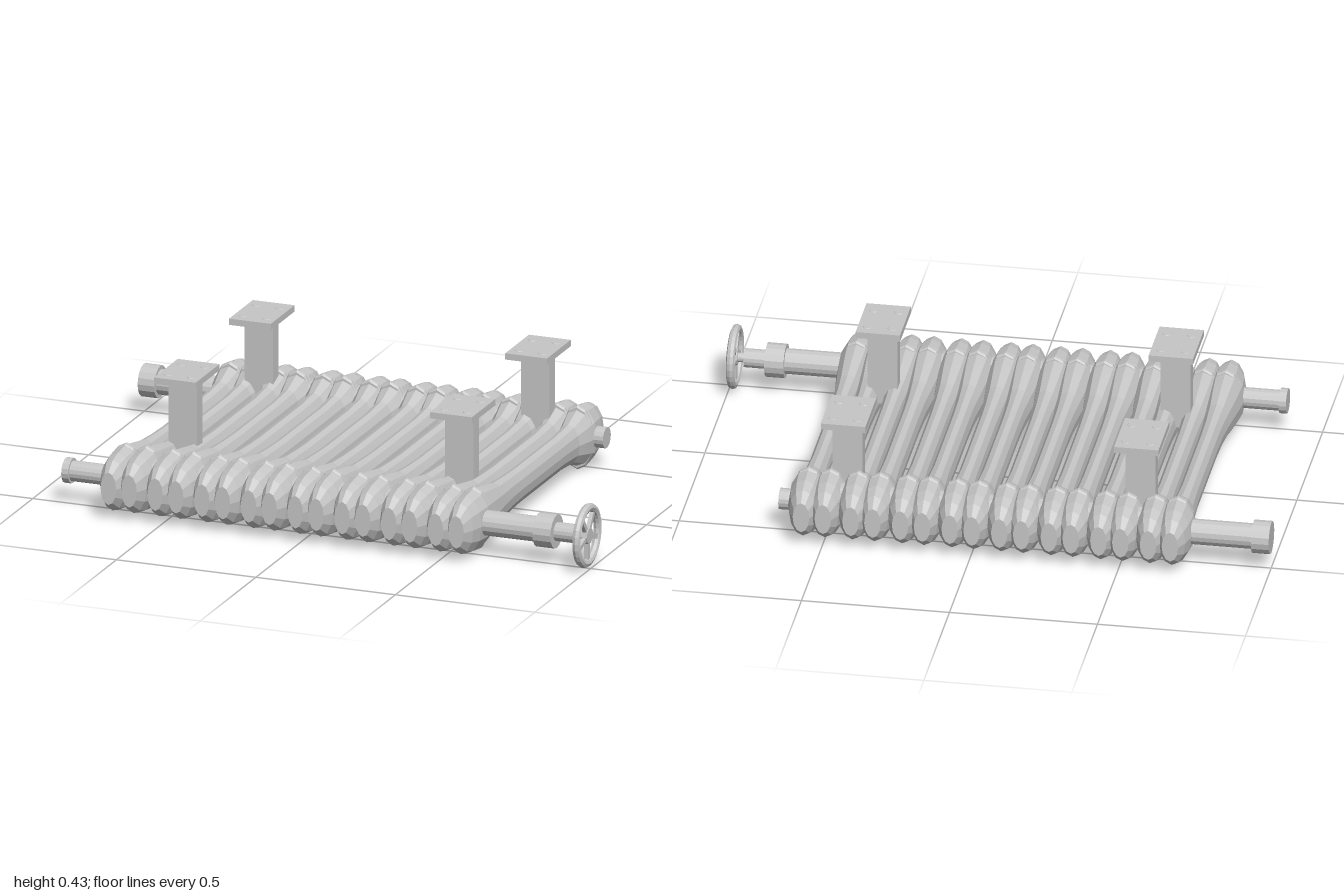
import * as THREE from 'three';
import { toCreasedNormals } from 'three/addons/utils/BufferGeometryUtils.js';

const MID = 0.115; // height of the radiator's centre plane
const BACK = -0.495, FRONT = 0.49; // z of the two header pipes

export function createModel() {
  const root = new THREE.Group();
  const grey = new THREE.MeshStandardMaterial({ color: 0xc6c6c6 });
  grey.name = 'cast iron grey';

  const add = (parent, name, geometry, x = 0, y = 0, z = 0) => {
    const mesh = new THREE.Mesh(toCreasedNormals(geometry, 0.1), grey);
    mesh.name = name;
    mesh.position.set(x, y, z);
    parent.add(mesh);
    return mesh;
  };

  // Elliptical loft along z; rows are [z, half width, half height], front to back
  const loft = (rows, sides = 12) => {
    const n = rows.length - 1;
    const g = new THREE.CylinderGeometry(1, 1, 1, sides, n).rotateX(Math.PI / 2);
    const p = g.attributes.position;
    for (let i = 0; i < p.count; i++) {
      const [z, w, h] = rows[Math.round((0.5 - p.getZ(i)) * n)];
      p.setXYZ(i, p.getX(i) * w, p.getY(i) * h, z);
    }
    return g;
  };

  // Pipe along x between two positions
  const pipe = (name, x0, x1, r, z, sides = 16) =>
    add(root, name, new THREE.CylinderGeometry(r, r, x1 - x0, sides).rotateZ(Math.PI / 2), (x0 + x1) / 2, MID, z);

  // Paired columns with swollen ends
  const column = loft([
    [0.625, 0.028, 0.057], [0.585, 0.046, 0.088], [0.54, 0.058, 0.1],
    [0.48, 0.064, 0.106], [0.41, 0.059, 0.096], [0.29, 0.045, 0.072],
    [0.2, 0.038, 0.066], [0.1, 0.036, 0.062], [-0.27, 0.036, 0.062],
    [-0.38, 0.041, 0.07], [-0.43, 0.055, 0.088], [-0.48, 0.064, 0.106],
    [-0.54, 0.058, 0.1], [-0.585, 0.046, 0.085], [-0.622, 0.028, 0.054],
  ]);
  const seam = loft([[0.012, 0.055, 0.106], [0.006, 0.058, 0.112], [-0.006, 0.058, 0.112], [-0.012, 0.055, 0.106]]);
  for (let i = 0; i < 8; i++) {
    const section = new THREE.Group();
    section.name = 'section' + (i + 1);
    section.position.set(-0.642 + i * 0.1675, MID, 0);
    for (const dx of [-0.037, 0.037]) {
      add(section, 'column', column, dx);
      add(section, 'frontSeam', seam, dx, 0, 0.465);
      add(section, 'backSeam', seam, dx, 0, -0.468);
    }
    root.add(section);
  }

  // Headers joining the sections, and the pipe fittings at their ends
  pipe('backHeader', -0.68, 0.56, 0.075, BACK);
  pipe('frontHeader', -0.68, 0.56, 0.075, FRONT);
  pipe('backPipe', -0.95, -0.66, 0.043, BACK);
  pipe('backPipeCap', -1, -0.94, 0.056, BACK);
  pipe('backPlug', 0.56, 0.66, 0.036, BACK);
  pipe('ventPipe', -0.87, -0.66, 0.035, FRONT);
  pipe('ventCap', -0.885, -0.86, 0.043, FRONT);
  pipe('valvePipe', 0.56, 0.82, 0.043, FRONT);
  pipe('valveCollar', 0.81, 0.875, 0.058, FRONT);
  pipe('valveNeck', 0.87, 0.95, 0.032, FRONT);
  pipe('valveStem', 0.94, 0.985, 0.016, FRONT);

  // Five-spoked hand wheel
  const wheel = new THREE.Group();
  wheel.name = 'handWheel';
  wheel.position.set(0.984, MID, FRONT + 0.003);
  add(wheel, 'wheelRim', new THREE.TorusGeometry(0.095, 0.0145, 8, 28).rotateY(Math.PI / 2));
  add(wheel, 'wheelHub', new THREE.CylinderGeometry(0.028, 0.028, 0.022, 10).rotateZ(Math.PI / 2));
  for (let i = 0; i < 5; i++) {
    const spoke = new THREE.BoxGeometry(0.014, 0.08, 0.016).translate(0, 0.055, 0);
    add(wheel, 'wheelSpoke', spoke.rotateX(Math.PI / 5 + (i * Math.PI * 2) / 5));
  }
  root.add(wheel);

  // Mounting brackets with bolted plates
  for (const x of [-0.55, 0.44]) {
    for (const [plateZ, stemZ] of [[0.245, 0.254], [-0.428, -0.427]]) {
      const bracket = new THREE.Group();
      bracket.name = 'bracket';
      bracket.position.x = x;
      add(bracket, 'bracketStem', new THREE.BoxGeometry(0.102, 0.29, 0.05), 0, 0.265, stemZ);
      add(bracket, 'bracketPlate', new THREE.BoxGeometry(0.15, 0.022, 0.213), 0, 0.417, plateZ);
      for (const sx of [-1, 1]) for (const sz of [-1, 1]) {
        add(bracket, 'bolt', new THREE.CylinderGeometry(0.015, 0.017, 0.003, 10), sx * 0.042, 0.4285, plateZ + sz * 0.06);
      }
      root.add(bracket);
    }
  }
  return root;
}
